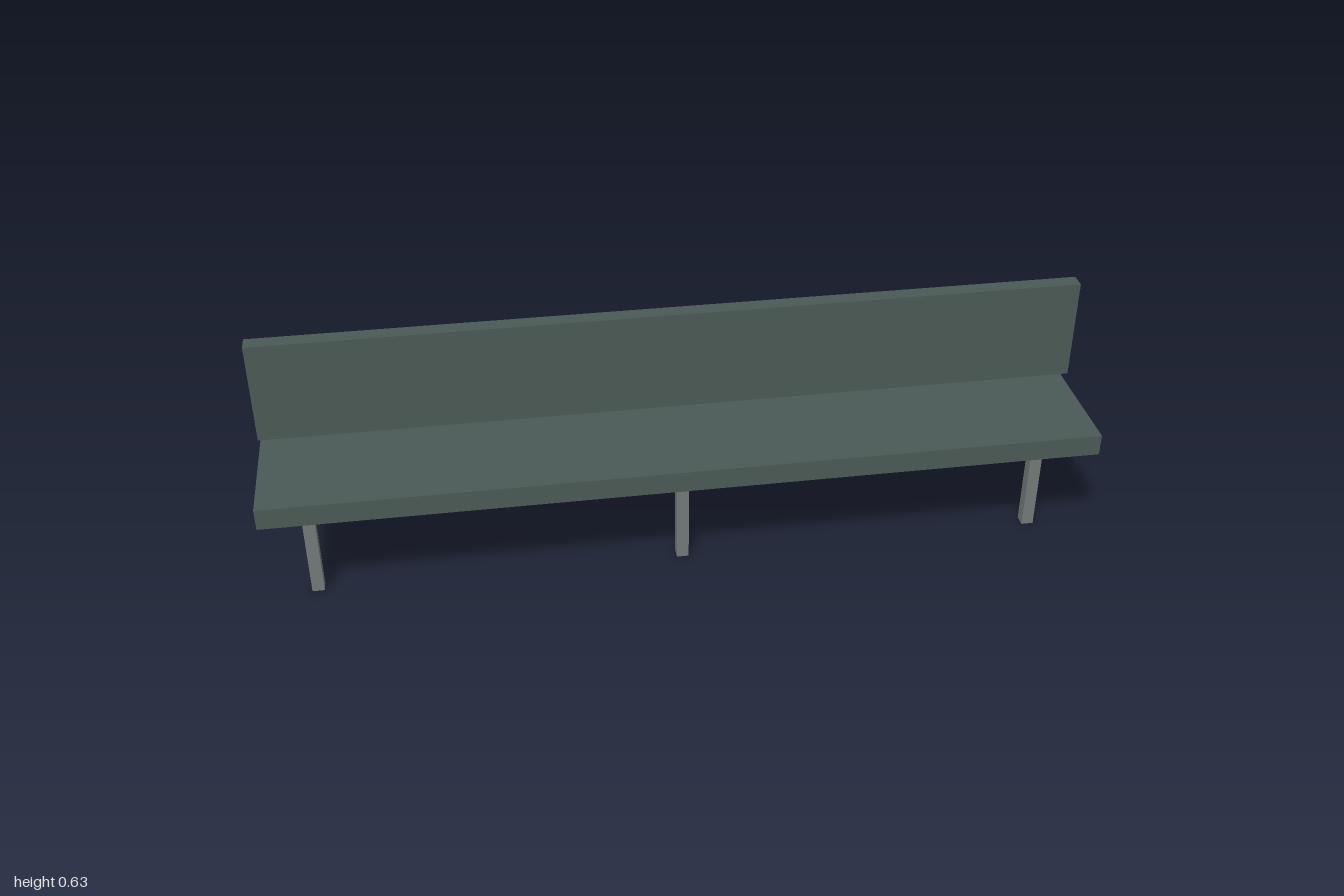
import * as THREE from 'three';

export function createModel() {
  const bench = new THREE.Group();
  bench.name = 'bench';

  const board = new THREE.MeshStandardMaterial({ color: 0x4b5a56 });
  board.name = 'dark green board';
  const metal = new THREE.MeshStandardMaterial({ color: 0x737b79 });
  metal.name = 'grey metal';

  // Box given by its size, base height and centre in x and z
  const addBox = (name, material, [w, h, d], x, base, z) => {
    const mesh = new THREE.Mesh(new THREE.BoxGeometry(w, h, d), material);
    mesh.name = name;
    mesh.position.set(x, base + h / 2, z);
    bench.add(mesh);
  };

  // Seat and the backrest floating above its rear edge
  addBox('seat', board, [2, 0.053, 0.3], 0, 0.294, 0);
  addBox('backrest', board, [2, 0.253, 0.04], 0, 0.374, -0.12);

  // Three square posts along the centre line
  const posts = { rightLeg: -0.9, middleLeg: 0, leftLeg: 0.9 };
  for (const [name, x] of Object.entries(posts)) {
    addBox(name, metal, [0.03, 0.294, 0.03], x, 0, 0);
  }

  return bench;
}
